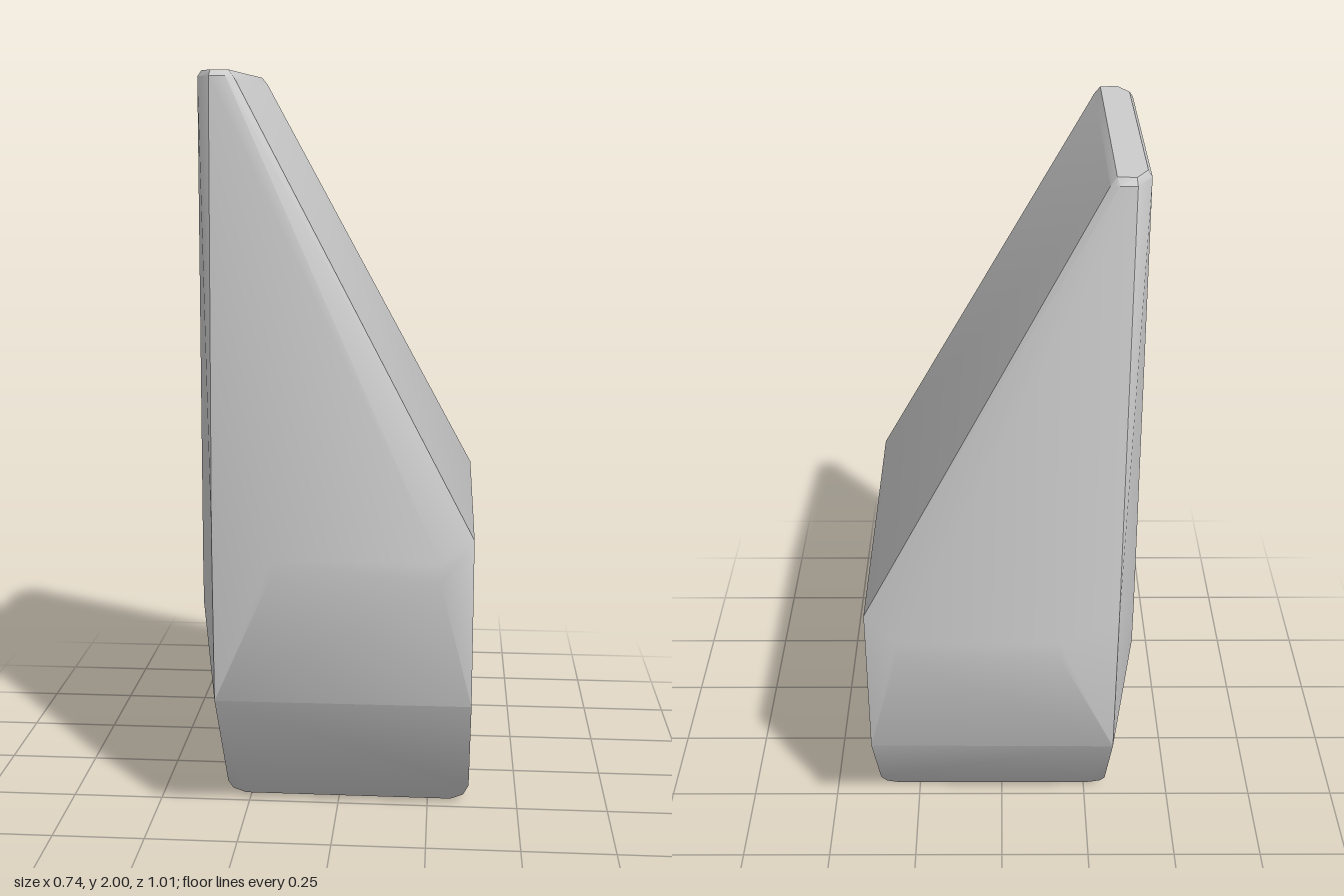
import * as THREE from 'three';
import { ConvexGeometry } from 'three/addons/geometries/ConvexGeometry.js';
import { toCreasedNormals } from 'three/addons/utils/BufferGeometryUtils.js';

export function createModel() {
  const group = new THREE.Group();
  const stone = new THREE.MeshStandardMaterial({ color: 0xcccccc });
  stone.name = 'stone grey';

  // Corners of one half (x, y, z); the other half is mirrored in z
  const half = [
    // narrow tip with a small bevel
    [-0.34, 2, 0.295], [-0.31, 2, 0.345], [-0.265, 2, 0.34],
    [-0.35, 1.985, 0.3], [-0.312, 1.985, 0.362], [-0.27, 1.985, 0.362], [-0.25, 1.98, 0.345],
    // widest band
    [-0.155, 0.78, 0.505], [0.28, 0.78, 0.505], [-0.155, 0.73, 0.505], [0.28, 0.73, 0.505],
    // tall side faces
    [0.365, 0.83, 0.455], [0.365, 0.38, 0.455],
    [-0.31, 0.82, 0.46], [-0.31, 0.38, 0.46],
    [-0.37, 0.7, 0.24], [-0.37, 0.58, 0.24],
    // foot with rounded ends
    [0.365, 0.06, 0.241], [0.35, 0.02, 0.214], [0.315, 0, 0.2],
    [-0.312, 0.05, 0.234], [-0.3, 0.018, 0.212], [-0.265, 0, 0.2],
  ];
  const points = half.flatMap(([x, y, z]) => [
    new THREE.Vector3(x, y, z), new THREE.Vector3(x, y, -z),
  ]);

  // Faceted body, softened across the shallow edges
  const body = new THREE.Mesh(toCreasedNormals(new ConvexGeometry(points), 0.6), stone);
  body.name = 'stoneBody';
  group.add(body);
  return group;
}
